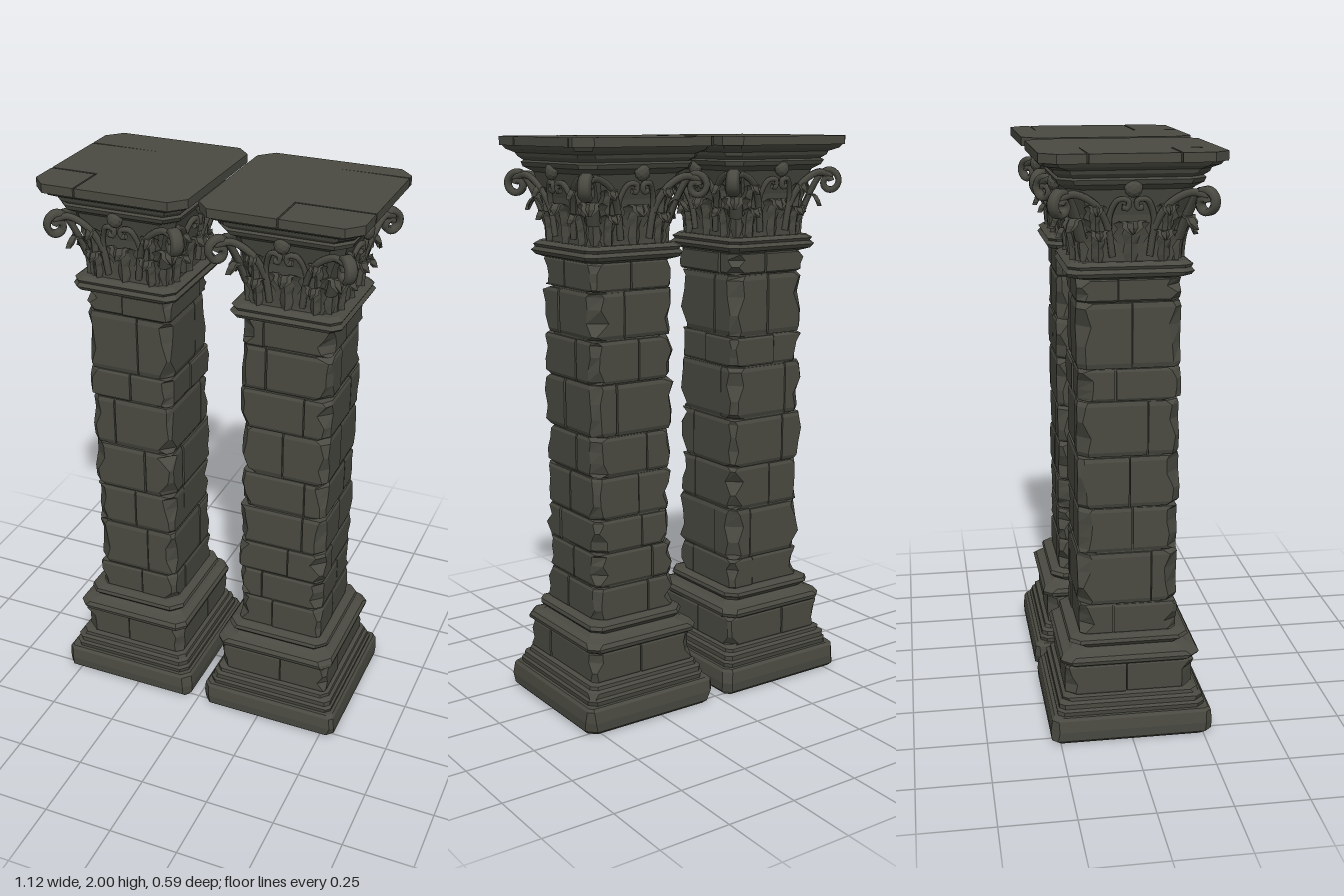
import * as THREE from 'three';

const stone = new THREE.MeshStandardMaterial({ color: 0x4a4a42, side: THREE.DoubleSide });
stone.name = 'dark weathered stone';

let seed = 7;
const rand = (a = 0, b = 1) => {
  seed = (seed * 16807) % 2147483647;
  return a + (b - a) * (seed / 2147483647);
};

function add(parent, name, geo, flat = true) {
  if (flat) {
    if (geo.index) geo = geo.toNonIndexed();
    geo.computeVertexNormals();
  }
  const mesh = new THREE.Mesh(geo, stone);
  mesh.name = name;
  parent.add(mesh);
  return mesh;
}

// Solid through rings of [x, z] points, each ring at its own height
function loft(rings) {
  const pos = [];
  const n = rings[0].pts.length;
  const put = (ring, j) => pos.push(ring.pts[j % n][0], ring.y, ring.pts[j % n][1]);
  for (let i = 0; i < rings.length - 1; i++) {
    const a = rings[i], b = rings[i + 1];
    for (let j = 0; j < n; j++) {
      put(a, j); put(b, j); put(a, j + 1);
      put(a, j + 1); put(b, j); put(b, j + 1);
    }
  }
  const lo = rings[0], hi = rings[rings.length - 1];
  for (let j = 1; j < n - 1; j++) {
    put(lo, 0); put(lo, j); put(lo, j + 1);
    put(hi, 0); put(hi, j + 1); put(hi, j);
  }
  const geo = new THREE.BufferGeometry();
  geo.setAttribute('position', new THREE.Float32BufferAttribute(pos, 3));
  geo.computeVertexNormals();
  return geo;
}

// Square ring with worn, cut-off corners
const octagon = (h, cut) => {
  const pts = [];
  for (const [sx, sz] of [[1, 1], [-1, 1], [-1, -1], [1, -1]]) {
    const c = cut() , a = [sx * h, sz * (h - c)], b = [sx * (h - c), sz * h];
    pts.push(...(sx * sz > 0 ? [a, b] : [b, a]));
  }
  return pts;
};
const moulding = (profile, c0, c1) =>
  loft(profile.map(([h, y]) => ({ y, pts: octagon(h, () => rand(c0, c1)) })));

// One course of four chipped blocks around a core
function course(parent, name, y0, y1, half, chip) {
  const u = { 1: rand(-0.09, 0.09), '-1': rand(-0.09, 0.09) };
  const w = { 1: rand(-0.09, 0.09), '-1': rand(-0.09, 0.09) };
  for (const sx of [1, -1]) for (const sz of [1, -1]) {
    const h = half - rand(0, 0.007), gap = rand(0.001, 0.004);
    const a = u[sz] * sx + gap, b = w[sx] * sz + gap;
    const top = y1 - rand(0.002, 0.007);
    const rings = [0, 0.08, 0.35, 0.65, 0.92, 1].map((t, i) => {
      const s = h - (i % 5 === 0 ? 0.005 : 0), c = rand(0.008, chip);
      const pts = [[a, b], [s, b], [s, s - c], [s - c * rand(0.6, 1.3), s], [a, s]]
        .map(([x, z]) => [x * sx, z * sz]);
      return { y: y0 + (top - y0) * t, pts: sx * sz > 0 ? pts : pts.reverse() };
    });
    add(parent, name, loft(rings));
  }
}

// Lobed leaf that rises and curls outward
function leaf(width, height, out) {
  const geo = new THREE.PlaneGeometry(1, 1, 4, 10), p = geo.attributes.position;
  for (let i = 0; i < p.count; i++) {
    const s = p.getX(i) * 2, v = p.getY(i) + 0.5, row = Math.round(v * 10);
    const lobe = row % 2 ? 1 : 0.74;
    const w = width * 0.5 * lobe * (0.7 + 0.3 * Math.sin(v * 4)) * (v > 0.95 ? 0.45 : 1);
    const angle = v * 2.35;
    const ridge = 0.012 - 0.016 * Math.abs(s) + (Math.abs(s) === 0.5 ? -0.008 : 0);
    p.setXYZ(i, s * w, height * Math.sin(angle), out * (1 - Math.cos(angle)) / 1.7 + ridge);
  }
  return geo;
}

const tube = (pts, r, n = 24) => new THREE.TubeGeometry(
  new THREE.CatmullRomCurve3(pts.map(p => new THREE.Vector3(...p))), n, r, 6);

function capital(parent) {
  add(parent, 'capitalCollar', moulding([[0.172, 1.595], [0.2, 1.605], [0.208, 1.618],
    [0.198, 1.63], [0.204, 1.64], [0.185, 1.652]], 0.025, 0.035));
  add(parent, 'capitalBell', moulding([[0.172, 1.64], [0.17, 1.72], [0.18, 1.8], [0.205, 1.89]], 0.04, 0.045));

  for (let k = 0; k < 4; k++) {
    const face = new THREE.Group();
    face.name = 'capitalFace';
    face.rotation.y = k * Math.PI / 2;
    parent.add(face);
    const place = (x, y, z, w, h, o) =>
      add(face, 'acanthusLeaf', leaf(w, h, o)).position.set(x, y, z);
    place(0, 1.645, 0.175, 0.12, 0.14, 0.05);
    for (const s of [-1, 1]) {
      place(s * 0.105, 1.645, 0.175, 0.09, 0.11, 0.045);
      place(s * 0.115, 1.72, 0.178, 0.075, 0.115, 0.05);
      // stalks sweeping to the corner and curling to the middle
      add(face, 'cornerStalk', tube([[s * 0.06, 1.67, 0.178], [s * 0.075, 1.76, 0.186],
        [s * 0.115, 1.835, 0.208], [s * 0.185, 1.872, 0.222], [s * 0.235, 1.86, 0.24]], 0.012), false);
      add(face, 'innerStalk', tube([[s * 0.07, 1.73, 0.18], [s * 0.07, 1.8, 0.19], [s * 0.045, 1.85, 0.207],
        [s * 0.014, 1.848, 0.212], [s * 0.016, 1.825, 0.21], [s * 0.034, 1.828, 0.21]], 0.01), false);
    }
    const flower = add(face, 'faceFlower', new THREE.IcosahedronGeometry(0.03, 1));
    flower.position.set(0, 1.888, 0.225);
    flower.scale.z = 0.7;

    // corner leaf and scroll
    const corner = new THREE.Group();
    corner.name = 'capitalCorner';
    corner.rotation.y = Math.PI / 4;
    face.add(corner);
    add(corner, 'cornerLeaf', leaf(0.11, 0.15, 0.075)).position.set(0, 1.645, 0.213);
    const path = [[0, 1.72, 0.222], [0, 1.8, 0.255], [0, 1.865, 0.295]];
    for (let i = 0; i <= 12; i++) {
      const a = Math.PI / 2 - i * 0.62, r = 0.042 - i * 0.0028;
      path.push([0, 1.838 + r * Math.sin(a), 0.325 + r * Math.cos(a)]);
    }
    const scroll = add(corner, 'cornerScroll', tube(path, 0.013, 50), false);
    scroll.scale.x = 1.9;
  }
}

// Top slab with a cracked-off corner and a split from one edge
function slab(parent, dir, cx, slotZ) {
  const H = 0.2925, D = 0.297, c = 0.052, cz = 0.14, g = 0.003;
  const main = [[-H, -D + c], [-H + c, -D], [H - c, -D], [H, -D + c], [H, slotZ - g],
    [0.02, slotZ], [H, slotZ + g], [H, cz - g], [cx - g, cz - g], [cx - g, D], [-H + c, D], [-H, D - c]];
  const piece = [[cx + g, cz + g], [H, cz + g], [H, D - c], [H - c, D], [cx + g, D]];
  for (const pts of [main, piece]) {
    const shape = new THREE.Shape(pts.map(([x, z]) => new THREE.Vector2(x * dir, -z)));
    const geo = new THREE.ExtrudeGeometry(shape, { depth: 0.03, bevelEnabled: false });
    geo.rotateX(-Math.PI / 2);
    add(parent, 'topSlab', geo).position.y = 1.97;
  }
}

function pillar(name, x, seams, dir, cx, slotZ) {
  const g = new THREE.Group();
  g.name = name;
  g.position.x = x;
  g.scale.x = 0.93;

  // stepped base
  add(g, 'plinth', moulding([[0.268, 0], [0.28, 0.012], [0.282, 0.045], [0.277, 0.085], [0.268, 0.095]], 0.012, 0.035));
  add(g, 'baseSteps', moulding([[0.255, 0.09], [0.258, 0.11], [0.25, 0.118], [0.25, 0.135],
    [0.238, 0.143], [0.236, 0.155], [0.215, 0.162]], 0.015, 0.03));
  add(g, 'baseCore', moulding([[0.2, 0.155], [0.2, 0.28]], 0.06, 0.06));
  course(g, 'baseBlock', 0.157, 0.272, 0.226, 0.045);
  add(g, 'baseRoll', moulding([[0.222, 0.265], [0.238, 0.275], [0.241, 0.288], [0.232, 0.302],
    [0.205, 0.31], [0.19, 0.322], [0.2, 0.33], [0.208, 0.34], [0.204, 0.352], [0.178, 0.36]], 0.03, 0.045));

  // block shaft
  add(g, 'shaftCore', moulding([[0.161, 0.35], [0.161, 1.6]], 0.05, 0.05));
  for (let i = 0; i < seams.length - 1; i++) course(g, 'shaftBlock', seams[i], seams[i + 1], 0.175, 0.05);

  capital(g);

  // abacus
  add(g, 'abacus', moulding([[0.2, 1.88], [0.232, 1.9], [0.238, 1.915], [0.23, 1.921], [0.246, 1.934],
    [0.25, 1.946], [0.275, 1.958], [0.284, 1.971]], 0.04, 0.05));
  slab(g, dir, cx, slotZ);
  return g;
}

export function createModel() {
  const model = new THREE.Group();
  model.name = 'pillarPair';
  model.add(pillar('rightPillar', -0.291, [0.355, 0.47, 0.66, 0.82, 1.0, 1.19, 1.3, 1.52, 1.6], -1, 0.115, -0.15));
  model.add(pillar('leftPillar', 0.289, [0.355, 0.48, 0.6, 0.72, 0.87, 1.01, 1.19, 1.34, 1.5, 1.6], 1, 0.01, -0.22));
  return model;
}
